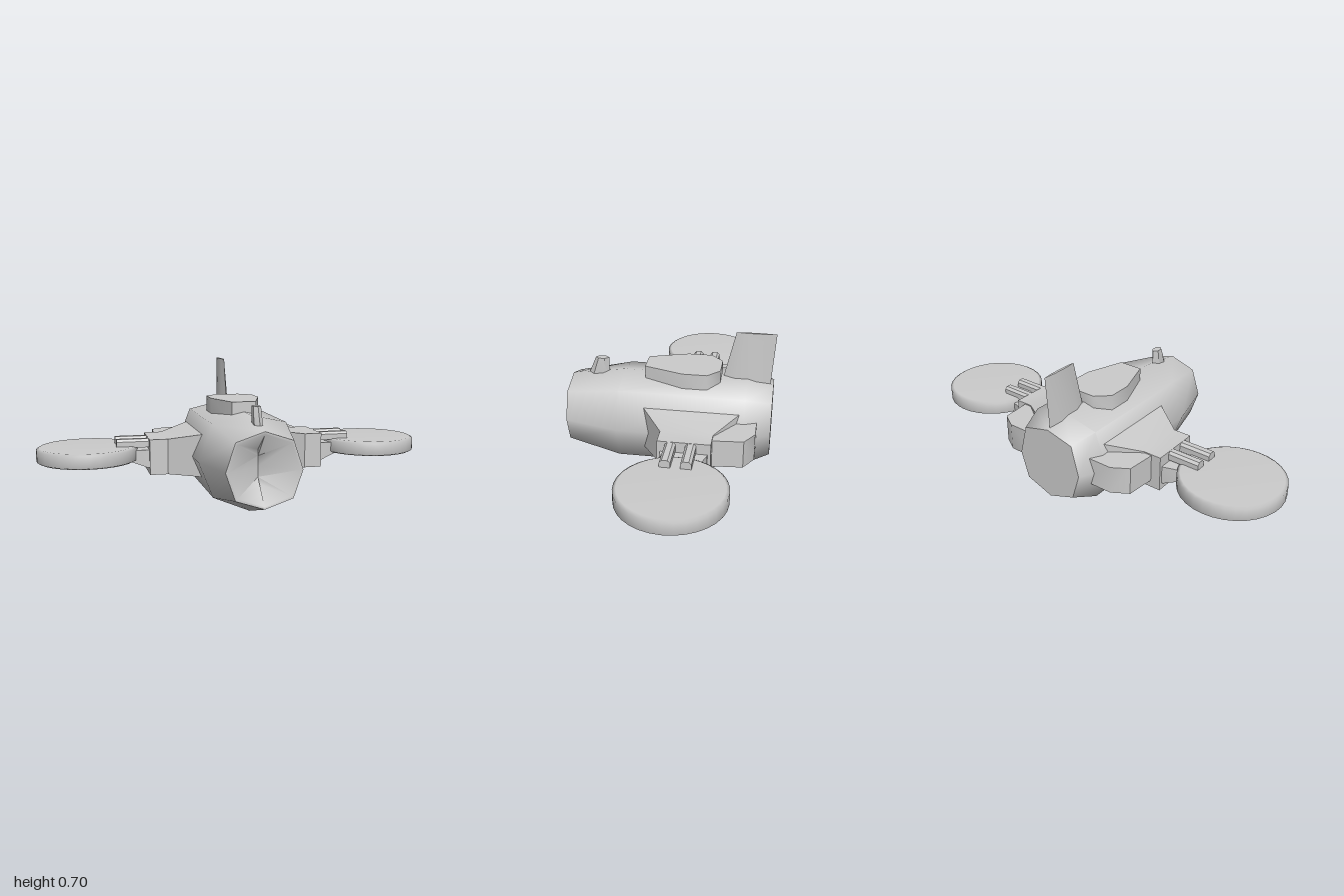
import * as THREE from 'three';
import { toCreasedNormals } from 'three/addons/utils/BufferGeometryUtils.js';

const material = new THREE.MeshStandardMaterial({ color: 0xcccccc });

// Skin a list of rings (each counter-clockwise about the direction of travel), capping both ends
function loft(name, rings, crease = 0.6) {
  const n = rings[0].length, index = [];
  for (let j = 0; j < rings.length - 1; j++) {
    for (let i = 0; i < n; i++) {
      const a = j * n + i, b = j * n + (i + 1) % n;
      index.push(a, b, a + n, b, b + n, a + n);
    }
  }
  const last = (rings.length - 1) * n;
  for (let i = 1; i < n - 1; i++) {
    index.push(0, i + 1, i, last, last + i, last + i + 1);
  }
  const geometry = new THREE.BufferGeometry();
  geometry.setAttribute('position', new THREE.Float32BufferAttribute(rings.flat(2), 3));
  geometry.setIndex(index);
  const mesh = new THREE.Mesh(toCreasedNormals(geometry, crease), material);
  mesh.name = name;
  return mesh;
}

// Octagonal hull section with a corner at top, bottom and both sides
const hullRing = (z, w, cw, top, shoulder, mid, hip, bottom) => [
  [w, mid, z], [cw, shoulder, z], [0, top, z], [-cw, shoulder, z],
  [-w, mid, z], [-cw, hip, z], [0, bottom, z], [cw, hip, z],
];

// Rectangular section across x
const rectX = (x, y0, y1, z0, z1) => [[x, y0, z0], [x, y1, z0], [x, y1, z1], [x, y0, z1]];

// Level plan section from [x, z] points
const plan = (y, points) => points.map(([x, z]) => [x, y, z]);

// Slim six-sided blade section
const blade = (y, w, front, back) => {
  const d = front - back;
  return plan(y, [[0, front], [w, front - d * 0.25], [w, back + d * 0.3],
    [0, back], [-w, back + d * 0.3], [-w, front - d * 0.25]]);
};

// Everything carried on one flank, built on the +x side
function createSide(name) {
  const side = new THREE.Group();
  side.name = name;

  // Flared stub wing
  side.add(loft('stubWing', [
    rectX(0.15, 0.15, 0.375, -0.397, 0.147),
    rectX(0.36, 0.15, 0.328, -0.25, 0),
    rectX(0.45, 0.15, 0.328, -0.25, 0),
  ]));

  // Tapered arm under the rotor
  side.add(loft('rotorArm', [
    rectX(0.42, 0.183, 0.275, -0.235, -0.015),
    rectX(0.46, 0.185, 0.275, -0.235, -0.015),
    rectX(0.55, 0.217, 0.27, -0.2, -0.04),
  ]));

  // Twin bars reaching over the rotor, with bevelled tops
  for (const z of [-0.158, -0.063]) {
    const section = (x) => [[-0.025, 0.285], [-0.025, 0.315], [-0.013, 0.327],
      [0.013, 0.327], [0.025, 0.315], [0.025, 0.285]].map(([dz, y]) => [x, y, z + dz]);
    side.add(loft('rotorBar', [section(0.42), section(0.61)]));
  }

  // Rotor disc with softly shaded rim
  const profile = [[0, 0], [0.235, 0], [0.25, 0.008], [0.25, 0.066], [0.235, 0.075], [0, 0.075]];
  const disc = new THREE.Mesh(
    new THREE.LatheGeometry(profile.map(([r, y]) => new THREE.Vector2(r, y)), 32), material);
  disc.name = 'rotorDisc';
  disc.position.set(0.75, 0.216, -0.115);
  side.add(disc);

  // Rear engine pod
  const pod = [[0.15, -0.25], [0.4, -0.25], [0.388, -0.395], [0.31, -0.443], [0.15, -0.443]];
  side.add(loft('enginePod', [plan(0.185, pod), plan(0.322, pod)], 0.9));
  return side;
}

export function createModel() {
  const model = new THREE.Group();
  model.name = 'aircraft';

  // Hull, tapered at both ends, with a recessed nose
  model.add(loft('hull', [
    hullRing(-0.51, 0.18, 0.14, 0.435, 0.4, 0.25, 0.12, 0.07),
    hullRing(-0.385, 0.25, 0.18, 0.47, 0.43, 0.25, 0.075, 0),
    hullRing(0.24, 0.25, 0.18, 0.47, 0.43, 0.25, 0.075, 0),
    hullRing(0.51, 0.18, 0.135, 0.43, 0.385, 0.25, 0.12, 0.075),
    hullRing(0.51, 0.168, 0.126, 0.418, 0.375, 0.25, 0.13, 0.087),
    hullRing(0.39, 0, 0, 0.33, 0.3, 0.25, 0.2, 0.17),
  ], 1.05));

  // Flat-topped dorsal housing
  const housing = [[0.06, 0.125], [0.125, -0.07], [0.125, -0.19], [0.06, -0.25],
    [-0.06, -0.25], [-0.125, -0.19], [-0.125, -0.07], [-0.06, 0.125]];
  model.add(loft('dorsalHousing', [plan(0.42, housing), plan(0.52, housing)], 0.9));

  // Tail fin and nose sensor
  model.add(loft('tailFin', [blade(0.42, 0.021, -0.25, -0.493), blade(0.703, 0.006, -0.317, -0.512)]));
  model.add(loft('noseSensor', [
    blade(0.42, 0.02, 0.434, 0.32), blade(0.5, 0.02, 0.4, 0.32), blade(0.527, 0.018, 0.389, 0.32),
  ]));

  // Mirrored flanks
  const left = createSide('leftSide');
  const right = createSide('rightSide');
  right.scale.x = -1;
  model.add(left, right);
  return model;
}
